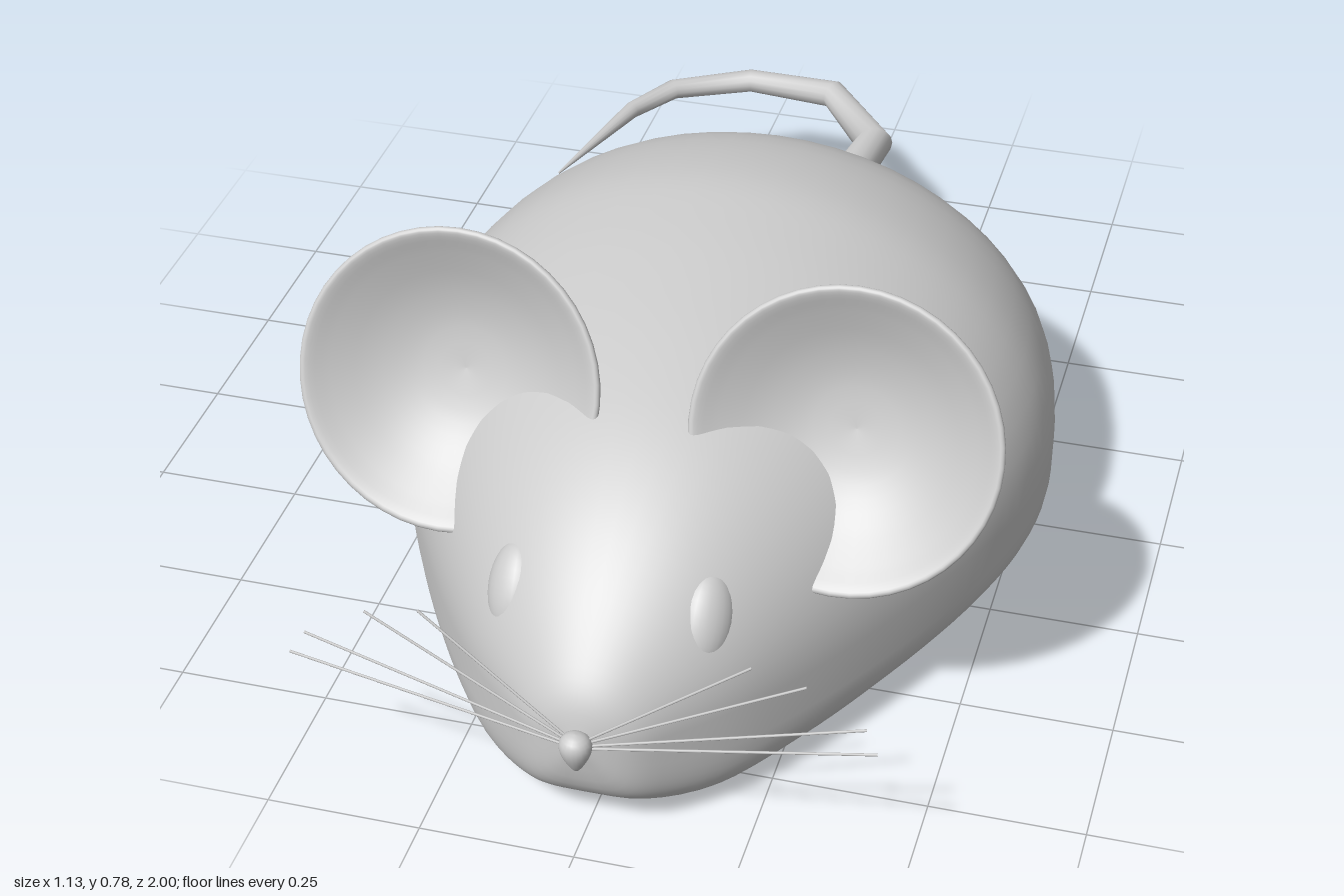
import * as THREE from 'three';

const V = (x, y, z) => new THREE.Vector3(x, y, z);
const grey = () => new THREE.MeshStandardMaterial({ color: 0xcccccc });

function part(name, geometry, parent) {
  const mesh = new THREE.Mesh(geometry, grey());
  mesh.name = name;
  parent.add(mesh);
  return mesh;
}

// Skin over a row of closed rings with equal point counts
function loft(rings) {
  const n = rings[0].length, positions = [], index = [];
  rings.forEach((ring) => ring.forEach((p) => positions.push(p.x, p.y, p.z)));
  for (let i = 0; i < rings.length - 1; i++) {
    for (let j = 0; j < n; j++) {
      const a = i * n + j, b = i * n + (j + 1) % n;
      index.push(a, b, a + n, b, b + n, a + n);
    }
  }
  const g = new THREE.BufferGeometry();
  g.setAttribute('position', new THREE.Float32BufferAttribute(positions, 3));
  g.setIndex(index);
  g.computeVertexNormals();
  return g;
}

// Domed above the widest line, squared off below to a flat belly
function bodyGeometry() {
  // z, half width, top, bottom
  const keys = [
    [-0.476, 0.003, 0.203, 0.197], [-0.47, 0.08, 0.27, 0.13], [-0.445, 0.18, 0.355, 0.06],
    [-0.39, 0.305, 0.445, 0.02], [-0.3, 0.42, 0.53, 0.006], [-0.18, 0.51, 0.602, 0.004],
    [0, 0.553, 0.64, 0.003], [0.15, 0.55, 0.635, 0.003], [0.3, 0.51, 0.615, 0.004],
    [0.45, 0.445, 0.585, 0.005], [0.6, 0.365, 0.54, 0.006], [0.72, 0.29, 0.48, 0.008],
    [0.82, 0.215, 0.405, 0.014], [0.9, 0.135, 0.325, 0.05], [0.945, 0.075, 0.265, 0.1],
    [0.965, 0.003, 0.2, 0.19],
  ];
  const widths = new THREE.CatmullRomCurve3(keys.map(([z, w]) => V(z, w, 0)), false, 'catmullrom');
  const heights = new THREE.CatmullRomCurve3(keys.map(([z, , t, b]) => V(z, t, b)), false, 'catmullrom');
  const steps = 60, sides = 56, mid = 0.197, power = 2 / 4.5, rings = [];
  for (let i = 0; i <= steps; i++) {
    const w = widths.getPoint(i / steps), h = heights.getPoint(i / steps), ring = [];
    for (let j = 0; j < sides; j++) {
      const a = (j / sides) * Math.PI * 2, c = Math.cos(a), s = Math.sin(a);
      if (s >= 0) ring.push(V(w.y * c, mid + (h.y - mid) * s, w.x));
      else {
        ring.push(V(w.y * Math.sign(c) * Math.abs(c) ** power,
          mid - (mid - h.z) * Math.abs(s) ** power, w.x));
      }
    }
    rings.push(ring);
  }
  return loft(rings);
}

// Tapered tail, bent in short straight lengths and mitred at each bend
function tailGeometry() {
  // x, z, radius
  const keys = [
    [0, -0.4, 0.043], [0.01, -0.49, 0.042], [0.052, -0.805, 0.033], [-0.068, -0.968, 0.026],
    [-0.24, -0.978, 0.022], [-0.38, -0.905, 0.019], [-0.437, -0.805, 0.016], [-0.505, -0.54, 0.002],
  ];
  const pts = keys.map(([x, z]) => V(x, 0.237, z));
  return loft(keys.map(([, , r], i) => {
    const dirIn = pts[Math.max(i, 1)].clone().sub(pts[Math.max(i, 1) - 1]).normalize();
    const k = Math.min(i, pts.length - 2);
    const dirOut = pts[k + 1].clone().sub(pts[k]).normalize();
    const t = dirIn.clone().add(dirOut).normalize();
    const mitre = r / t.dot(dirOut);
    return Array.from({ length: 14 }, (_, j) => {
      const a = (j / 14) * Math.PI * 2, c = Math.cos(a) * mitre;
      return pts[i].clone().add(V(t.z * c, Math.sin(a) * r, -t.x * c));
    });
  }));
}

// Thin bowl with a rounded rim
function earGeometry() {
  const outline = [
    [0.0005, -0.118], [0.08, -0.108], [0.15, -0.083], [0.205, -0.045], [0.238, -0.008],
    [0.247, 0.006], [0.243, 0.013], [0.232, 0.01], [0.2, -0.012], [0.14, -0.048],
    [0.075, -0.072], [0.0005, -0.08],
  ].map(([x, y]) => new THREE.Vector2(x, y));
  return new THREE.LatheGeometry(new THREE.SplineCurve(outline).getPoints(36), 48);
}

// Ball narrowed towards its lower end
function noseGeometry() {
  const g = new THREE.SphereGeometry(1, 20, 14), p = g.attributes.position;
  for (let i = 0; i < p.count; i++) {
    const y = p.getY(i), k = 0.78 + 0.4 * y;
    p.setXYZ(i, p.getX(i) * k * 0.03, y * 0.036, p.getZ(i) * k * 0.028);
  }
  g.computeVertexNormals();
  return g;
}

function whiskerGeometry(from, to) {
  return new THREE.TubeGeometry(new THREE.LineCurve3(from, to), 1, 0.0022, 6);
}

export function createModel() {
  const model = new THREE.Group();
  model.name = 'mouse';

  part('body', bodyGeometry(), model);
  part('tail', tailGeometry(), model);
  part('nose', noseGeometry(), model).position.set(0, 0.191, 0.972);

  const whiskerTips = [[0.46, 0.275, 0.953], [0.44, 0.305, 0.938], [0.345, 0.355, 0.925], [0.26, 0.37, 0.92]];

  for (const side of [1, -1]) {
    const label = side > 0 ? 'left' : 'right';

    const ear = part(label + 'Ear', earGeometry(), model);
    ear.position.set(side * 0.318, 0.55, 0.577);
    ear.rotation.x = THREE.MathUtils.degToRad(70);

    // Eye lies flat on the cheek, its long axis running down and forward
    const eye = part(label + 'Eye', new THREE.SphereGeometry(1, 24, 16), model);
    const long = V(0, -0.82, 0.57).normalize();
    const out = V(side * 0.62, 0.45, 0.64).normalize();
    const across = long.clone().cross(out).normalize();
    out.crossVectors(across, long);
    eye.quaternion.setFromRotationMatrix(new THREE.Matrix4().makeBasis(across, long, out));
    eye.scale.set(0.046, 0.074, 0.034);
    eye.position.set(side * 0.154, 0.336, 0.787);

    whiskerTips.forEach(([x, y, z], i) => {
      const root = V(side * 0.012, 0.196 + i * 0.005, 0.966);
      part(label + 'Whisker' + (i + 1), whiskerGeometry(root, V(side * x, y, z)), model);
    });
  }
  return model;
}
